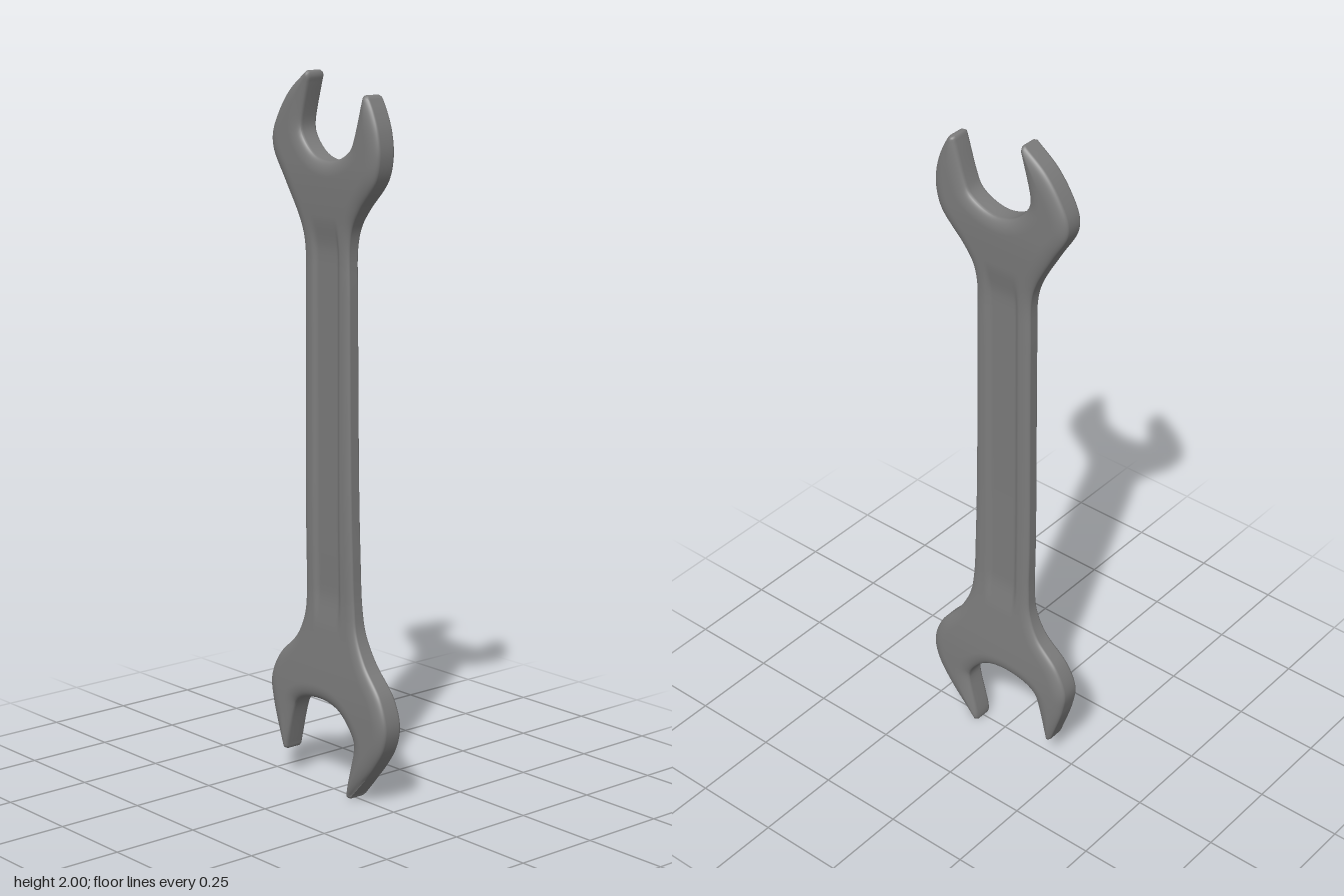
import * as THREE from 'three';

const COLS = 64, ROWS = 200;
const smooth = THREE.MathUtils.smoothstep;

// Smooth outline run through [z, y] points
const run = (pts) => {
  const c = new THREE.CatmullRomCurve3(pts.map(([z, y]) => new THREE.Vector3(0, y, z)));
  c.arcLengthDivisions = 600;
  return c;
};

// Outline of the wrench: two outer sides (top to bottom) and two mouths (+z to -z)
const leftSide = run([
  [0.172, 1.938], [0.19, 1.905], [0.21, 1.85], [0.216, 1.785], [0.198, 1.72], [0.13, 1.64],
  [0.1, 1.594], [0.088, 1.545], [0.088, 1.4], [0.092, 1.0], [0.098, 0.7], [0.103, 0.55],
  [0.114, 0.475], [0.15, 0.4], [0.218, 0.315], [0.242, 0.24], [0.23, 0.177], [0.188, 0.11], [0.1, 0.012],
]);
const rightSide = run([
  [-0.078, 2.0], [-0.146, 1.947], [-0.19, 1.89], [-0.218, 1.83], [-0.216, 1.785], [-0.167, 1.7],
  [-0.112, 1.6], [-0.096, 1.545], [-0.094, 1.4], [-0.095, 1.0], [-0.096, 0.7], [-0.096, 0.575],
  [-0.104, 0.495], [-0.135, 0.428], [-0.21, 0.354], [-0.242, 0.283], [-0.234, 0.215], [-0.194, 0.09],
]);
const topMouth = run([
  [0.172, 1.938], [0.165, 1.945], [0.152, 1.945], [0.146, 1.93], [0.115, 1.83], [0.1, 1.8],
  [0.06, 1.775], [0.013, 1.765], [-0.035, 1.775], [-0.07, 1.8], [-0.095, 1.835], [-0.098, 1.86],
  [-0.07, 1.97], [-0.066, 1.985], [-0.07, 1.998], [-0.078, 2.0],
]);
const bottomMouth = run([
  [0.1, 0.012], [0.095, 0.003], [0.083, 0.003], [0.081, 0.02], [0.112, 0.15], [0.112, 0.17], [0.087, 0.21],
  [0.045, 0.246], [-0.02, 0.262], [-0.1, 0.252], [-0.133, 0.232], [-0.146, 0.204],
  [-0.174, 0.095], [-0.178, 0.08], [-0.188, 0.08], [-0.194, 0.09],
]);

const outline = [[leftSide, 260], [rightSide, 260], [topMouth, 130], [bottomMouth, 130]]
  .map(([c, n]) => c.getSpacedPoints(n));

// Distance from a point to the outline
function edgeDistance(p) {
  let best = Infinity;
  for (const pts of outline) {
    for (let i = 0; i < pts.length - 1; i++) {
      const a = pts[i], b = pts[i + 1];
      const dy = b.y - a.y, dz = b.z - a.z;
      const t = THREE.MathUtils.clamp(
        ((p.y - a.y) * dy + (p.z - a.z) * dz) / (dy * dy + dz * dz + 1e-12), 0, 1);
      best = Math.min(best, (p.y - a.y - t * dy) ** 2 + (p.z - a.z - t * dz) ** 2);
    }
  }
  return Math.sqrt(best);
}

// Half thickness: thin shaft, thick heads, rounded rim, shallow groove along the shaft
function halfThickness(p, d) {
  const top = smooth(p.y, 1.48, 1.76), bottom = 1 - smooth(p.y, 0.24, 0.58);
  const t = Math.min(d / (0.026 + 0.016 * (top + bottom)), 1);
  const rim = 0.52 + 0.48 * Math.sqrt(1 - (1 - t) ** 2);
  const groove = (1 - smooth(Math.abs(p.z + 0.002), 0.04, 0.058))
    * smooth(p.y, 0.46, 0.58) * (1 - smooth(p.y, 1.52, 1.62));
  return (0.023 + 0.016 * top + 0.018 * bottom) * rim - 0.008 * groove;
}

// Point on the flat body: rows are straight on the shaft and bend into the mouths at the ends
function bodyPoint(u, v, l, r, top, bottom) {
  const p = l.clone().lerp(r, u);
  const bend = (w, mouth, a, b) => p.addScaledVector(mouth.clone().sub(a.clone().lerp(b, u)), w);
  bend(Math.max(0, 1 - v / 0.25) ** 1.3, top, leftSide.getPoint(0), rightSide.getPoint(0));
  bend(Math.max(0, 1 - (1 - v) / 0.25) ** 1.3, bottom, leftSide.getPoint(1), rightSide.getPoint(1));
  return p;
}

function wrenchGeometry() {
  const ease = (s) => (1 - Math.cos(Math.PI * s)) / 2;
  const us = Array.from({ length: COLS + 1 }, (_, i) => ease(i / COLS));
  const tops = us.map((u) => topMouth.getPointAt(u));
  const bottoms = us.map((u) => bottomMouth.getPointAt(u));
  const front = [], back = [], index = [];

  for (let j = 0; j <= ROWS; j++) {
    const s = j / ROWS, v = 0.5 * s + 0.5 * ease(s);
    const l = leftSide.getPointAt(v), r = rightSide.getPointAt(v);
    for (let i = 0; i <= COLS; i++) {
      const p = bodyPoint(us[i], v, l, r, tops[i], bottoms[i]);
      const rimPoint = i === 0 || j === 0 || i === COLS || j === ROWS;
      const h = halfThickness(p, rimPoint ? 0 : edgeDistance(p));
      const mid = -0.005 + 0.008 * (1 - smooth(p.y, 0.2, 0.9));
      front.push(mid + h, p.y, p.z);
      back.push(mid - h, p.y, p.z);
    }
  }

  // Both faces
  const W = COLS + 1, N = W * (ROWS + 1);
  for (let j = 0; j < ROWS; j++) {
    for (let i = 0; i < COLS; i++) {
      const a = j * W + i, b = a + 1, c = a + W, d = c + 1;
      index.push(a, c, b, b, c, d, a + N, b + N, c + N, b + N, d + N, c + N);
    }
  }

  // Wall around the rim
  const loop = [];
  for (let i = 0; i < COLS; i++) loop.push(i);
  for (let j = 0; j < ROWS; j++) loop.push(j * W + COLS);
  for (let i = COLS; i > 0; i--) loop.push(ROWS * W + i);
  for (let j = ROWS; j > 0; j--) loop.push(j * W);
  loop.forEach((p, k) => {
    const q = loop[(k + 1) % loop.length];
    index.push(p, q, p + N, q, q + N, p + N);
  });

  const geo = new THREE.BufferGeometry();
  geo.setAttribute('position', new THREE.Float32BufferAttribute(front.concat(back), 3));
  geo.setIndex(index);
  geo.computeVertexNormals();
  return geo;
}

export function createModel() {
  const group = new THREE.Group();
  group.name = 'openEndWrench';
  const body = new THREE.Mesh(wrenchGeometry(), new THREE.MeshStandardMaterial({ color: 0x7b7b7b }));
  body.name = 'wrenchBody';
  group.add(body);
  return group;
}
